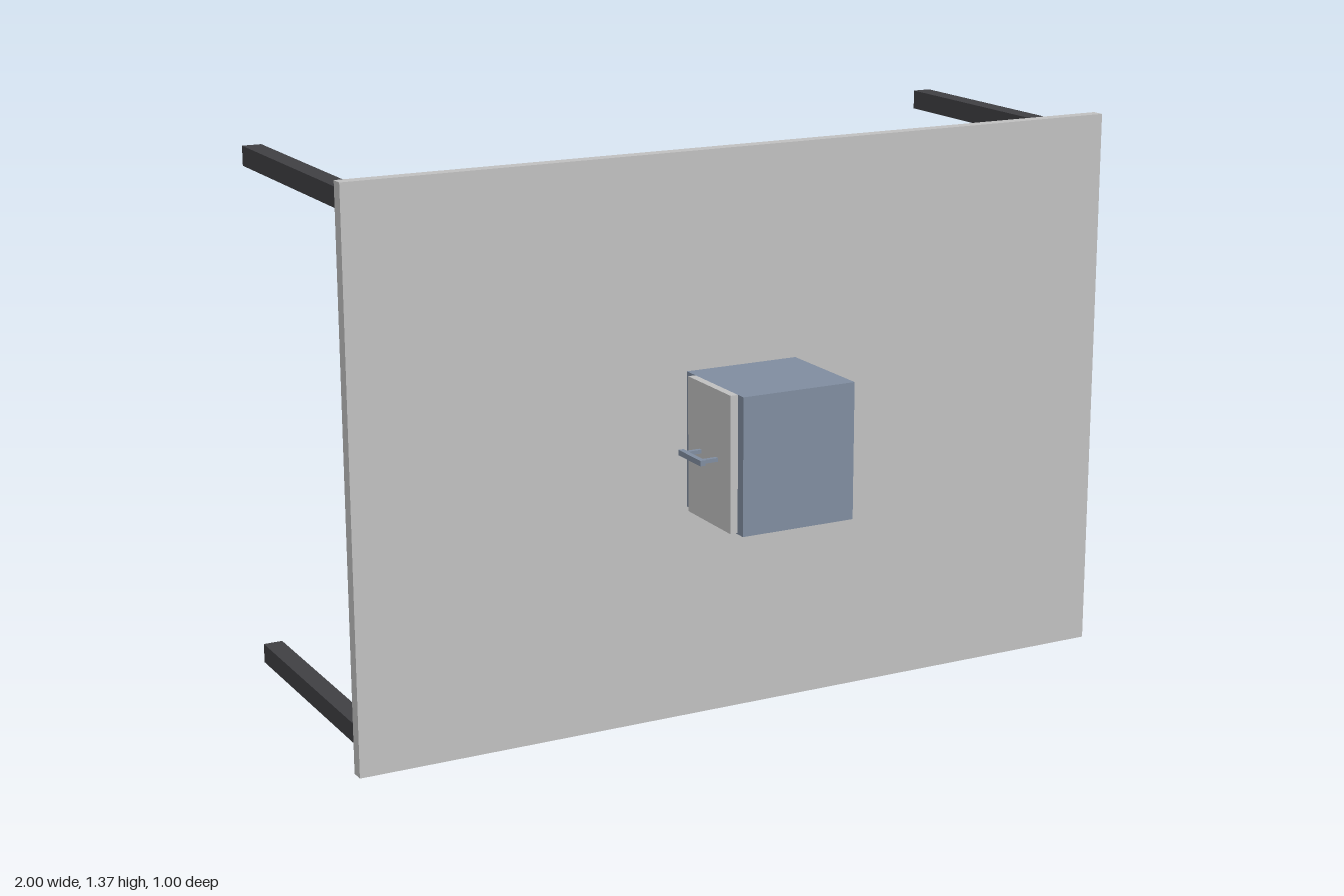
import * as THREE from 'three';

const material = (name, color) => {
  const m = new THREE.MeshStandardMaterial({ color });
  m.name = name;
  return m;
};

// Box given by its minimum and maximum corners
function block(name, mat, [x0, y0, z0], [x1, y1, z1]) {
  const mesh = new THREE.Mesh(new THREE.BoxGeometry(x1 - x0, y1 - y0, z1 - z0), mat);
  mesh.position.set((x0 + x1) / 2, (y0 + y1) / 2, (z0 + z1) / 2);
  mesh.name = name;
  return mesh;
}

export function createModel() {
  const panelGrey = material('panel grey', 0xc0c0c0);
  const legDark = material('leg charcoal', 0x404043);
  const steelBlue = material('steel blue', 0x808da0);

  const model = new THREE.Group();
  model.name = 'panelWithCabinet';

  // Large upright panel
  model.add(block('panel', panelGrey, [-1, 0, 0.197], [1, 1.366, 0.23]));

  // Four square legs reaching back from the corners
  for (const side of [-1, 1]) {
    for (const y of [0.06, 1.311]) {
      const x = side * 0.942;
      model.add(block('leg', legDark, [x - 0.024, y - 0.024, -0.5], [x + 0.024, y + 0.024, 0.197]));
    }
  }

  // Cabinet passing through the panel
  model.add(block('cabinet', steelBlue, [-0.161, 0.522, 0.084], [0.13, 0.85, 0.5]));

  // Drawer front on the cabinet's right side
  model.add(block('drawerFront', panelGrey, [-0.18, 0.525, 0.272], [-0.161, 0.85, 0.475]));

  // Handle: grip bar on two posts
  const handle = new THREE.Group();
  handle.name = 'handle';
  handle.add(block('grip', steelBlue, [-0.23, 0.679, 0.318], [-0.217, 0.692, 0.424]));
  for (const z of [0.332, 0.41]) {
    handle.add(block('handlePost', steelBlue, [-0.217, 0.681, z - 0.005], [-0.18, 0.69, z + 0.005]));
  }
  model.add(handle);

  return model;
}
